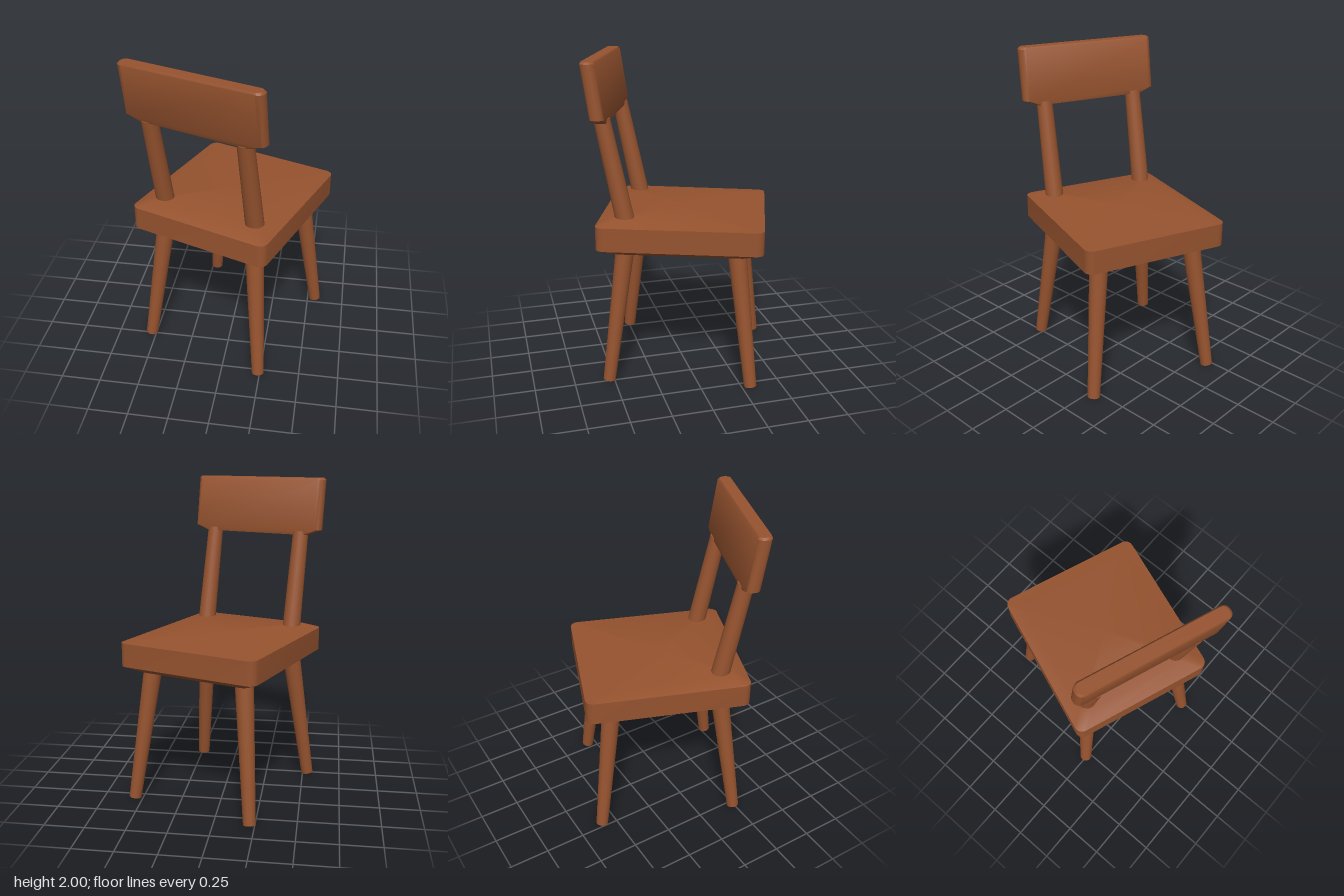
import * as THREE from 'three';
import { toCreasedNormals } from 'three/addons/utils/BufferGeometryUtils.js';

// Rounded rectangle outline in the xz plane, as [x, z] points
function roundedRect(hx, hz, r, steps = 5) {
  const pts = [];
  const corners = [[1, 1], [-1, 1], [-1, -1], [1, -1]];
  corners.forEach(([sx, sz], q) => {
    for (let i = 0; i <= steps; i++) {
      const t = (q + i / steps) * Math.PI / 2;
      pts.push([sx * (hx - r) + r * Math.cos(t), sz * (hz - r) + r * Math.sin(t)]);
    }
  });
  return pts;
}

// Closed solid through stacked outlines; y may be a number or a function of z
function loft(levels) {
  const rings = levels.map(({ hx, hz, r, y, cz = 0 }) => {
    const h = typeof y === 'function' ? y : () => y;
    return {
      pts: roundedRect(hx, hz, r).map(([x, z]) => new THREE.Vector3(x, h(z), z + cz)),
      mid: new THREE.Vector3(0, h(0), cz),
    };
  });
  const n = rings[0].pts.length;
  const tris = [];
  for (let k = 0; k < rings.length - 1; k++) {
    for (let j = 0; j < n; j++) {
      const m = (j + 1) % n;
      const lo = rings[k].pts, up = rings[k + 1].pts;
      tris.push(lo[j], up[j], lo[m], up[j], up[m], lo[m]);
    }
  }
  const first = rings[0], last = rings[rings.length - 1];
  for (let j = 0; j < n; j++) {
    const m = (j + 1) % n;
    tris.push(first.mid, first.pts[j], first.pts[m]);
    tris.push(last.mid, last.pts[m], last.pts[j]);
  }
  const geo = new THREE.BufferGeometry().setFromPoints(tris);
  return toCreasedNormals(geo, 0.62);
}

export function createModel() {
  const wood = new THREE.MeshStandardMaterial({ color: 0x96532f });
  wood.name = 'brown wood';

  const chair = new THREE.Group();
  chair.name = 'chair';
  const add = (name, geometry) => {
    const mesh = new THREE.Mesh(geometry, wood);
    mesh.name = name;
    chair.add(mesh);
    return mesh;
  };

  // Tapered round rod between two points
  const rod = (name, from, to, r0, r1) => {
    const a = new THREE.Vector3(...from), b = new THREE.Vector3(...to);
    const dir = b.clone().sub(a);
    const mesh = add(name, new THREE.CylinderGeometry(r1, r0, dir.length(), 20));
    mesh.position.copy(a).add(b).multiplyScalar(0.5);
    mesh.quaternion.setFromUnitVectors(new THREE.Vector3(0, 1, 0), dir.normalize());
  };

  // Seat slab, bevelled underneath, top rising gently towards the back
  add('seat', loft([
    { hx: 0.377, hz: 0.42, r: 0.045, y: 0.84 },
    { hx: 0.462, hz: 0.505, r: 0.05, y: 0.885 },
    { hx: 0.462, hz: 0.505, r: 0.05, y: 1.032 },
    { hx: 0.377, hz: 0.42, r: 0.045, y: (z) => 1.05 + 0.036 * z },
  ]));

  for (const s of [-1, 1]) {
    const side = s > 0 ? 'Left' : 'Right';
    // Splayed legs
    for (const f of [-1, 1]) {
      rod((f > 0 ? 'back' : 'front') + side + 'Leg',
        [s * 0.41, 0.006, f * 0.445], [s * 0.317, 0.87, f * 0.341], 0.039, 0.058);
    }
    // Leaning back posts
    rod('backPost' + side, [s * 0.317, 1.03, 0.335], [s * 0.315, 1.655, 0.463], 0.058, 0.05);
  }

  // Backrest board, leaning back, with bevelled lower ends
  add('backrest', loft([
    { hx: 0.375, hz: 0.038, r: 0.03, y: 1.64, cz: 0.465 },
    { hx: 0.457, hz: 0.044, r: 0.038, y: 1.672, cz: 0.47 },
    { hx: 0.457, hz: 0.044, r: 0.038, y: 1.988, cz: 0.517 },
    { hx: 0.445, hz: 0.036, r: 0.032, y: 2.0, cz: 0.519 },
  ]));

  // Whole chair stands turned about the vertical axis
  chair.rotation.y = THREE.MathUtils.degToRad(-20.5);
  chair.position.set(0.01, 0, -0.03);
  const model = new THREE.Group();
  model.name = 'woodenChair';
  model.add(chair);
  return model;
}
